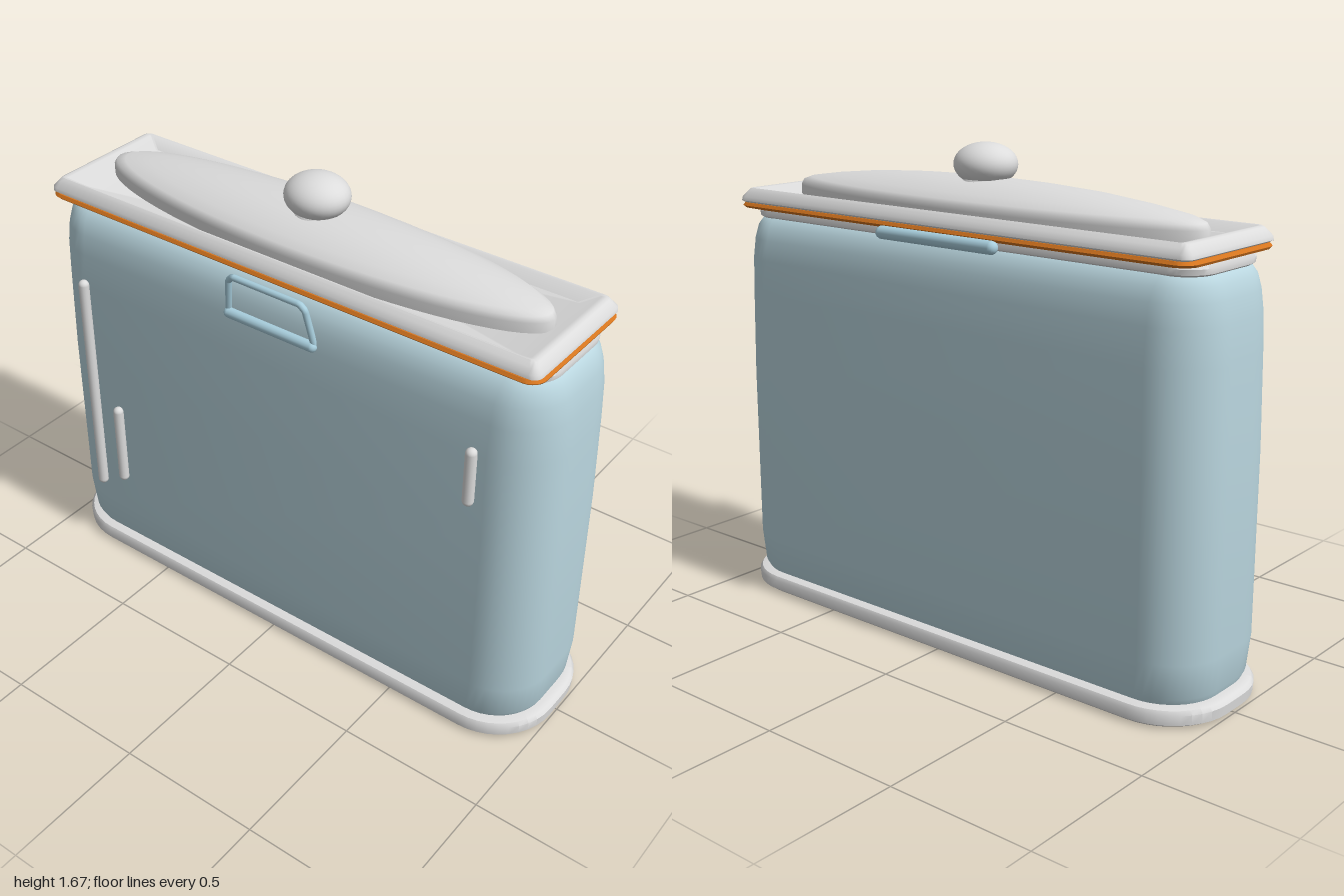
import * as THREE from 'three';
import { toCreasedNormals } from 'three/addons/utils/BufferGeometryUtils.js';

const mat = (name, color) => {
  const m = new THREE.MeshStandardMaterial({ color });
  m.name = name;
  return m;
};

// Ring of points around a rounded rectangle; level = [y, halfX, halfZ, cornerRadiusX, cornerRadiusZ]
function ring([y, hx, hz, rx, rz = rx], seg) {
  const pts = [];
  [[1, 1], [-1, 1], [-1, -1], [1, -1]].forEach(([sx, sz], q) => {
    for (let i = 0; i <= seg; i++) {
      const a = (q + i / seg) * Math.PI / 2;
      pts.push(sx * (hx - rx) + Math.cos(a) * rx, y, sz * (hz - rz) + Math.sin(a) * rz);
    }
  });
  return pts;
}

// Skin a stack of rings, closed at both ends
function loft(levels, seg = 10, crease = 0.7) {
  const n = 4 * (seg + 1), pos = [], idx = [];
  levels.forEach(l => pos.push(...ring(l, seg)));
  const last = levels.length - 1, bottom = levels.length * n, top = bottom + 1;
  pos.push(0, levels[0][0], 0, 0, levels[last][0], 0);
  for (let j = 0; j < n; j++) {
    const k = (j + 1) % n;
    for (let i = 0; i < last; i++) {
      const a = i * n + j, b = i * n + k;
      idx.push(a, a + n, b, b, a + n, b + n);
    }
    idx.push(bottom, j, k, top, last * n + k, last * n + j);
  }
  const g = new THREE.BufferGeometry();
  g.setAttribute('position', new THREE.Float32BufferAttribute(pos, 3));
  g.setIndex(idx);
  return toCreasedNormals(g, crease);
}

export function createModel() {
  const group = new THREE.Group();
  const blue = mat('pale blue enamel', 0xb9d5de);
  const hingeBlue = mat('latch blue', 0xa9cfde);
  const white = mat('off white', 0xdcdcdc);
  const orange = mat('orange seal', 0xd9771f);
  const add = (name, geo, m, x = 0, y = 0, z = 0) => {
    const mesh = new THREE.Mesh(geo, m);
    mesh.name = name;
    mesh.position.set(x, y, z);
    group.add(mesh);
    return mesh;
  };

  // Base plinth
  add('base', loft([
    [0, 0.98, 0.25, 0.21], [0.012, 0.998, 0.266, 0.22], [0.045, 1, 0.268, 0.22],
    [0.058, 0.99, 0.26, 0.21], [0.064, 0.97, 0.24, 0.2],
  ]), white);

  // Tall body with softened shoulders
  add('body', loft([
    [0.05, 0.955, 0.225, 0.18], [0.085, 0.968, 0.24, 0.18], [0.2, 0.978, 0.247, 0.18],
    [0.8, 0.978, 0.247, 0.18], [1.1, 0.972, 0.245, 0.18], [1.22, 0.965, 0.241, 0.17],
    [1.29, 0.955, 0.233, 0.16], [1.335, 0.942, 0.216, 0.14], [1.36, 0.925, 0.195, 0.12],
    [1.37, 0.9, 0.18, 0.11],
  ]), blue);

  // Neck ring under the lid
  add('neck', loft([
    [1.36, 0.915, 0.185, 0.1], [1.368, 0.927, 0.195, 0.1],
    [1.385, 0.929, 0.197, 0.1], [1.4, 0.922, 0.19, 0.1],
  ]), white);

  // Orange seal
  add('seal', loft([
    [1.39, 0.9, 0.2, 0.06], [1.399, 0.928, 0.235, 0.05],
    [1.407, 0.932, 0.243, 0.05], [1.417, 0.926, 0.237, 0.05],
  ]), orange);

  // Lid tray: outer rim, then a sloped recess
  add('lid', loft([
    [1.415, 0.915, 0.23, 0.03], [1.423, 0.929, 0.24, 0.03], [1.436, 0.927, 0.238, 0.03],
    [1.452, 0.912, 0.224, 0.02], [1.462, 0.905, 0.217, 0.02], [1.466, 0.895, 0.212, 0.015],
    [1.464, 0.88, 0.204, 0.01], [1.437, 0.83, 0.172, 0.01],
  ], 5), white);

  // Long shallow dome
  const profile = [[1, 1.43], [1, 1.47], [0.985, 1.487], [0.94, 1.5], [0.8, 1.518],
    [0.6, 1.537], [0.4, 1.548], [0.2, 1.555], [0, 1.557]].map(p => new THREE.Vector2(...p));
  add('lidDome', new THREE.LatheGeometry(profile, 64).scale(0.84, 1, 0.183), white);

  // Knob and its collar
  add('knobCollar', new THREE.CylinderGeometry(0.065, 0.085, 0.04, 32, 1, true), white, 0, 1.555, 0);
  add('knob', new THREE.SphereGeometry(1, 32, 20).scale(0.107, 0.07, 0.1), white, 0, 1.597, 0);

  // Upright trims on the front: x, bottom, top
  [[-0.795, 0.265, 1.13], [-0.685, 0.33, 0.65], [0.75, 0.92, 1.13]].forEach(([x, y0, y1]) => {
    add('frontTrim', new THREE.CapsuleGeometry(0.0185, y1 - y0 - 0.037, 6, 14), white,
      x, (y0 + y1) / 2, 0.257);
  });

  // Wire latch leaning out over the neck
  const v = (x, y) => new THREE.Vector3(x, y, 0.237 + (y - 1.24) * 0.15);
  const frame = new THREE.CurvePath();
  const corners = [v(-0.168, 1.24), v(-0.148, 1.365), v(-0.13, 1.382),
    v(0.13, 1.382), v(0.148, 1.365), v(0.168, 1.24)];
  for (let i = 1; i < corners.length; i++) frame.add(new THREE.LineCurve3(corners[i - 1], corners[i]));
  add('latchFrame', new THREE.TubeGeometry(frame, 60, 0.011, 10), hingeBlue);
  const barGeo = (r, len) => new THREE.CapsuleGeometry(r, len - 2 * r, 6, 16).rotateZ(Math.PI / 2);
  add('latchBar', barGeo(0.018, 0.36), hingeBlue, 0, 1.236, 0.242);

  // Hinge rod at the back
  add('hingeRod', barGeo(0.022, 0.5), hingeBlue, 0, 1.383, -0.245);

  return group;
}
